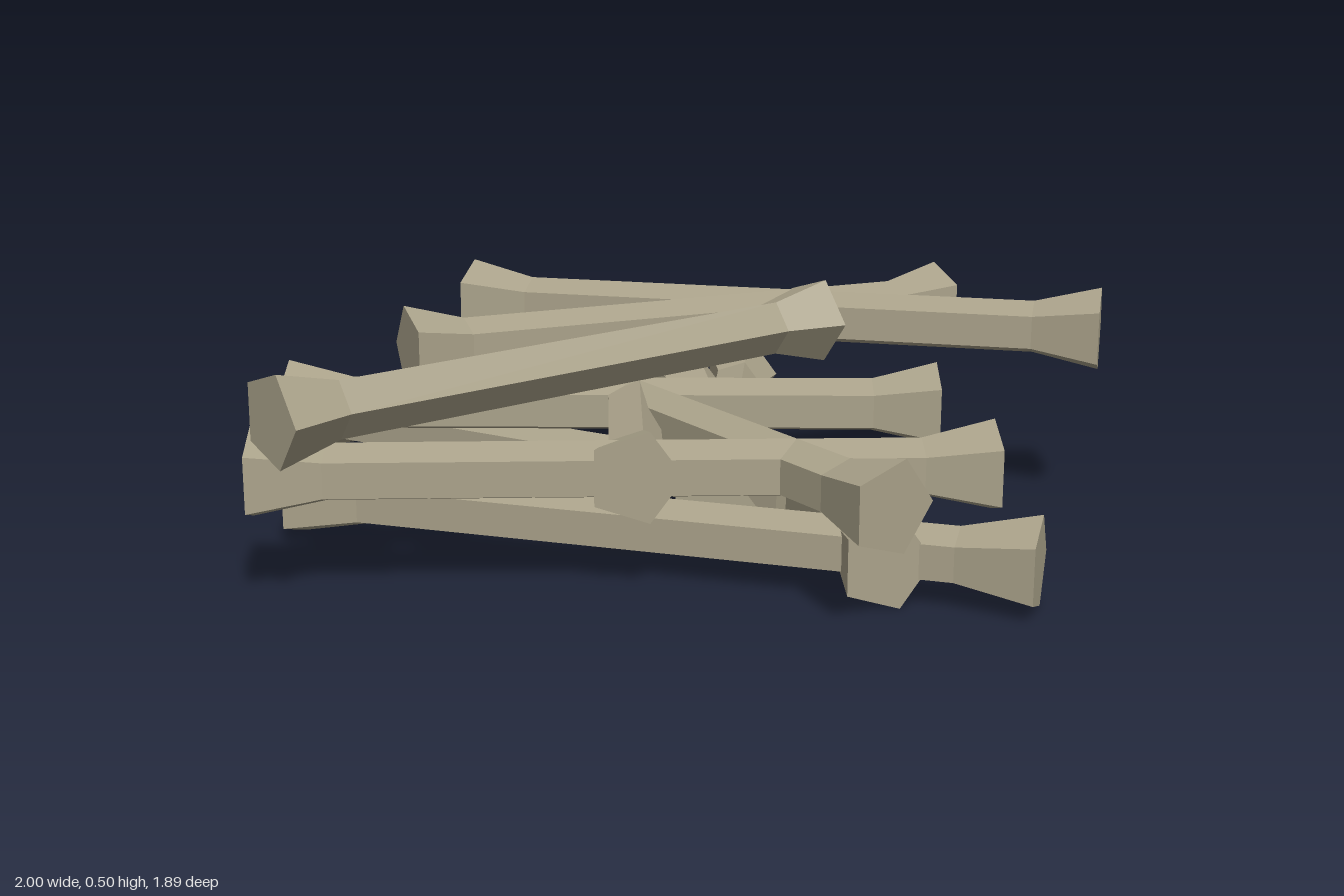
import * as THREE from 'three';

const END_RADIUS = 0.1;
const SHAFT_RADIUS = 0.063;

// Each bone runs from (x1, z1) to (x2, z2) at its layer's height
const LAYERS = [
  { name: 'lower', y: 0.1, bones: [
    [-0.53, -0.9, 0.2, 0.25],
    [-0.765, -0.25, 0.39, 0.88],
    [0.63, -0.76, -0.015, 0.29],
    [0.42, -0.67, 0.125, 0.75],
  ] },
  { name: 'middle', y: 0.255, bones: [
    [-0.73, -0.43, 0.565, 0.25],
    [-0.965, 0.075, 0.395, 0.71],
    [0.335, -0.85, -0.285, 0.46],
    [-0.12, -0.69, 0.063, 0.857],
  ] },
  { name: 'upper', y: 0.41, bones: [
    [0.43, -0.045, -0.97, 0.265],
    [-0.205, -0.615, 0.935, 0.35],
    [-0.535, -0.175, 0.783, -0.078],
  ] },
];

// Five-sided bone with a flared knuckle at both ends, along y
function boneGeometry(length) {
  const h = length / 2;
  const flare = length * 0.1;
  const profile = [
    [0, -h], [END_RADIUS, -h], [SHAFT_RADIUS, -h + flare],
    [SHAFT_RADIUS, h - flare], [END_RADIUS, h], [0, h],
  ].map(([r, y]) => new THREE.Vector2(r, y));
  const geometry = new THREE.LatheGeometry(profile, 5);
  geometry.translate(0, 0, -0.01); // centre the pentagon's width
  return geometry;
}

export function createModel() {
  const model = new THREE.Group();
  model.name = 'bonePile';
  const bone = new THREE.MeshStandardMaterial({ color: 0xaaa28a, flatShading: true });
  bone.name = 'bone';

  for (const { name, y, bones } of LAYERS) {
    const layer = new THREE.Group();
    layer.name = `${name}Layer`;
    bones.forEach(([x1, z1, x2, z2], i) => {
      const along = new THREE.Vector3(x2 - x1, 0, z2 - z1);
      const length = along.length();
      along.normalize();
      // One pentagon corner points sideways
      const side = new THREE.Vector3(along.z, 0, -along.x);
      const across = new THREE.Vector3().crossVectors(along, side);
      const mesh = new THREE.Mesh(boneGeometry(length), bone);
      mesh.name = `${name}Bone${i + 1}`;
      mesh.quaternion.setFromRotationMatrix(new THREE.Matrix4().makeBasis(across, along, side));
      mesh.position.set((x1 + x2) / 2, y, (z1 + z2) / 2);
      layer.add(mesh);
    });
    model.add(layer);
  }
  return model;
}
